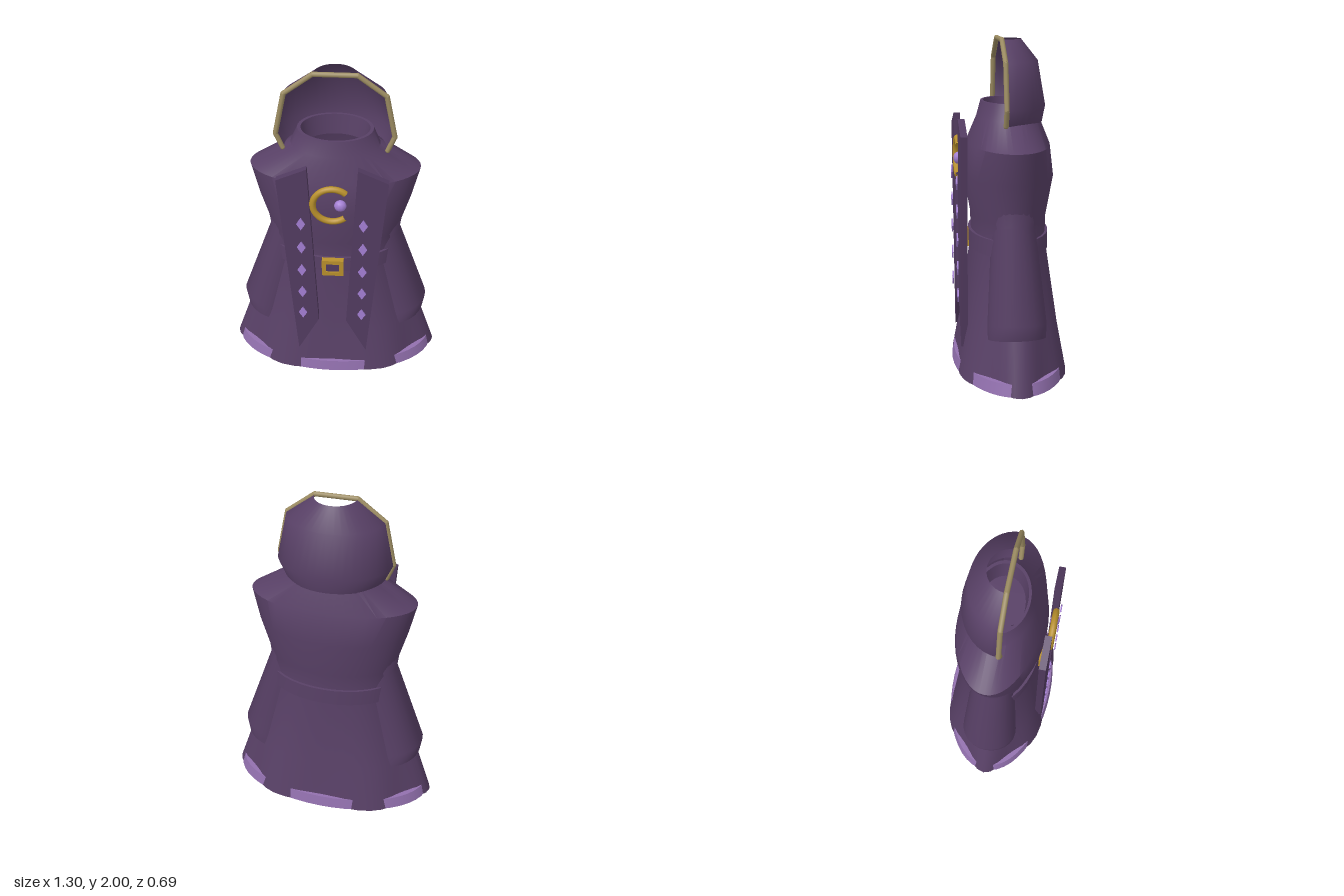
import * as THREE from 'three';
import { toCreasedNormals } from 'three/addons/utils/BufferGeometryUtils.js';

const mat = (name, color, double = false) => {
  const m = new THREE.MeshStandardMaterial({ color });
  m.name = name;
  if (double) m.side = THREE.DoubleSide;
  return m;
};

// Skin over elliptical rings swept from angle a0 to a1 (0 = front, +90 = left).
// tilt lifts the left side of a ring, fold adds six soft pleats.
function loft(rings, n, a0 = 0, a1 = 360, crease = 0.6) {
  const closed = a1 - a0 === 360;
  const w = closed ? n : n + 1;
  const pos = [], idx = [];
  for (const { x = 0, y, z = 0, rx, rz, tilt = 0, fold = 0 } of rings) {
    for (let i = 0; i < w; i++) {
      const t = THREE.MathUtils.degToRad(a0 + ((a1 - a0) * i) / n);
      const k = 1 - fold * Math.cos(6 * t);
      pos.push(x + k * rx * Math.sin(t), y + tilt * Math.sin(t), z + k * rz * Math.cos(t));
    }
  }
  for (let j = 0; j < rings.length - 1; j++) {
    for (let i = 0; i < n; i++) {
      const a = j * w + i, b = j * w + ((i + 1) % w);
      idx.push(a, b, b + w, a, b + w, a + w);
    }
  }
  const g = new THREE.BufferGeometry();
  g.setAttribute('position', new THREE.Float32BufferAttribute(pos, 3));
  g.setIndex(idx);
  return toCreasedNormals(g, crease);
}

const ring = ([y, rx, rz, fold = 0]) => ({ y, rx, rz, fold });

function polygon(points, depth) {
  const shape = new THREE.Shape(points.map(([x, y]) => new THREE.Vector2(x, y)));
  return new THREE.ExtrudeGeometry(shape, { depth, bevelEnabled: false });
}

export function createModel() {
  const cloth = mat('robe purple', 0x584066, true);
  const panelCloth = mat('panel purple', 0x523b60);
  const hemCloth = mat('hem lilac', 0x9270ae, true);
  const gemMat = mat('gem violet', 0xa47fd4);
  const gold = mat('gold', 0xb8902c);
  const trim = mat('hood trim', 0x9c8c62);

  const model = new THREE.Group();
  const add = (name, geo, material, x = 0, y = 0, z = 0, parent = model) => {
    const m = new THREE.Mesh(geo, material);
    m.name = name;
    m.position.set(x, y, z);
    parent.add(m);
    return m;
  };

  // Robe: pleated skirt, waist, chest, shoulders and a collar folded inward
  add('robe', loft([
    [0, 0.62, 0.34, 0.05], [0.3, 0.532, 0.289, 0.034], [0.8, 0.37, 0.222], [0.95, 0.386, 0.226],
    [1.19, 0.455, 0.268], [1.38, 0.5, 0.243], [1.53, 0.26, 0.186], [1.625, 0.22, 0.16],
    [1.625, 0.2, 0.145], [1.5, 0.18, 0.13],
  ].map(ring), 48), cloth);

  // Plain hem band, showing between the pleats
  add('hemBand', loft([
    [0, 0.632, 0.346], [0.07, 0.613, 0.335], [0.07, 0.575, 0.312],
  ].map(ring), 48), hemCloth);

  // Belt and buckle
  add('belt', loft([
    [0.75, 0.37, 0.222], [0.75, 0.395, 0.24], [0.85, 0.388, 0.24], [0.85, 0.36, 0.222],
  ].map(ring), 32), cloth);
  const buckle = new THREE.Group();
  buckle.name = 'buckle';
  buckle.position.set(0, 0.803, 0.262);
  model.add(buckle);
  for (const s of [-1, 1]) {
    add('buckleBar', new THREE.BoxGeometry(0.13, 0.026, 0.035), gold, 0, s * 0.043, 0, buckle);
    add('buckleSide', new THREE.BoxGeometry(0.026, 0.112, 0.035), gold, s * 0.052, 0, 0, buckle);
  }
  add('buckleCentre', new THREE.BoxGeometry(0.08, 0.062, 0.03), panelCloth, 0, 0, -0.006, buckle);

  for (const s of [-1, 1]) {
    // Round hanging sleeve with a turned-in cuff, running up inside the robe
    add('sleeve', loft([
      { x: s * 0.4, y: 0.36, rx: 0.135, rz: 0.145, tilt: s * 0.035 },
      { x: s * 0.405, y: 0.275, rx: 0.16, rz: 0.172, tilt: s * 0.038 },
      { x: s * 0.412, y: 0.365, rx: 0.168, rz: 0.174, tilt: s * 0.04 },
      { x: s * 0.262, y: 0.9, rx: 0.133, rz: 0.13, tilt: s * 0.035 },
      { x: s * 0.21, y: 1.2, rx: 0.22, rz: 0.18 },
      { x: s * 0.21, y: 1.2, rx: 0.001, rz: 0.001 },
    ], 24), cloth);

    // Pointed front panel
    const pts = [[0.317, 1.455], [0.143, 1.535], [0.085, 0.41], [0.212, 0.16]].map(([x, y]) => [s * x, y]);
    add('frontPanel', polygon(pts, 0.04), panelCloth, 0, 0, 0.27);

    // Diamond studs
    for (const y of [1.165, 0.993, 0.82, 0.648, 0.478]) {
      add('stud', polygon([[0, -0.043], [0.025, 0], [0, 0.043], [-0.025, 0]], 0.008), gemMat, s * 0.18, y, 0.319);
    }
  }

  // Crescent clasp with gem
  const half = THREE.MathUtils.degToRad(48);
  const crescent = add('crescent', new THREE.TorusGeometry(0.112, 0.019, 8, 32, Math.PI * 2 - 2 * half), gold, 0, 1.29, 0.302);
  crescent.rotation.z = half;
  add('claspGem', new THREE.SphereGeometry(0.036, 10, 8), gemMat, 0.046, 1.29, 0.302).scale.z = 0.8;

  // Hood: half shell, open at the front and at the crown
  add('hood', loft([
    [1.505, 0.298, 0.25], [1.6, 0.342, 0.267], [1.862, 0.288, 0.222], [1.985, 0.124, 0.125],
  ].map(([y, rx, rz]) => ({ y, rx, rz, z: 0.045 })), 20, 90, 270, 0.75), cloth);

  // Trim around the hood opening
  const side = [[0.302, 1.508], [0.34, 1.6], [0.287, 1.861], [0.124, 1.985]];
  const path = [...side, ...side.map(([x, y]) => [-x, y]).reverse()].map(([x, y]) => new THREE.Vector3(x, y, 0.048));
  path.forEach((p, i) => {
    add('hoodTrimJoint', new THREE.SphereGeometry(0.015, 8, 6), trim, p.x, p.y, p.z);
    if (!i) return;
    const d = p.clone().sub(path[i - 1]);
    const mid = p.clone().add(path[i - 1]).multiplyScalar(0.5);
    const bar = add('hoodTrim', new THREE.CylinderGeometry(0.015, 0.015, d.length(), 8), trim, mid.x, mid.y, mid.z);
    bar.quaternion.setFromUnitVectors(new THREE.Vector3(0, 1, 0), d.normalize());
  });

  return model;
}
